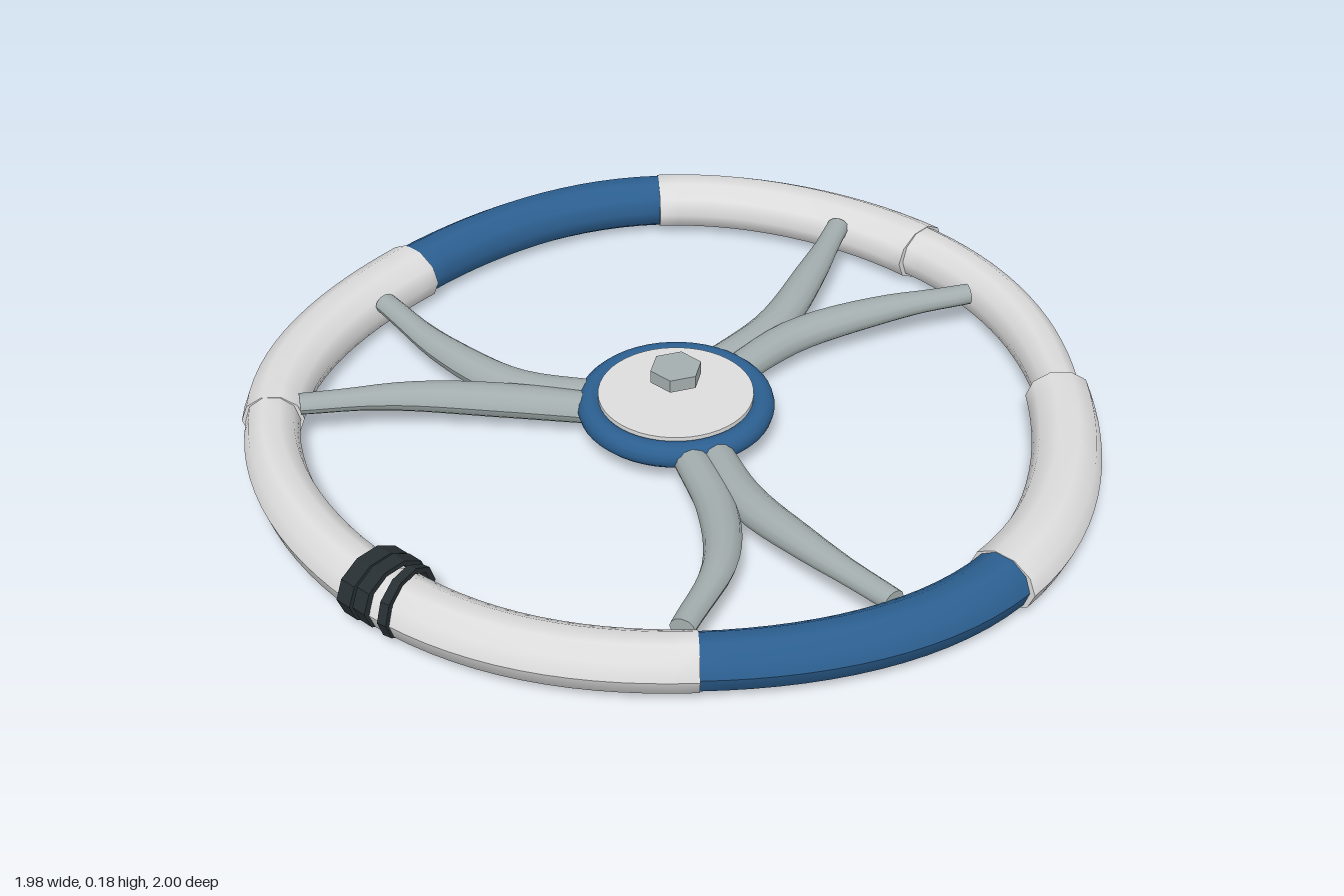
import * as THREE from 'three';

const mat = (name, color, opts = {}) => {
  const m = new THREE.MeshStandardMaterial({ color, ...opts });
  m.name = name;
  return m;
};

// Capped loft along a path: size(t) gives [halfWidth, halfHeight] of the section.
function loft(pointAt, tangentAt, size, steps, sides) {
  const pos = [], idx = [], up = new THREE.Vector3(0, 1, 0);
  const row = sides + 1;
  const ring = (t) => {
    const p = pointAt(t), s = up.clone().cross(tangentAt(t)).normalize(), [w, h] = size(t);
    for (let j = 0; j <= sides; j++) {
      const a = (j / sides) * Math.PI * 2;
      const v = p.clone().addScaledVector(s, w * Math.cos(a)).addScaledVector(up, h * Math.sin(a));
      pos.push(v.x, v.y, v.z);
    }
  };
  for (let i = 0; i <= steps; i++) ring(i / steps);
  for (let i = 0; i < steps; i++) for (let j = 0; j < sides; j++) {
    const a = i * row + j, b = a + row;
    idx.push(a, a + 1, b, a + 1, b + 1, b);
  }
  // End caps have their own vertices so the rims stay sharp
  for (const t of [0, 1]) {
    const start = pos.length / 3;
    ring(t);
    for (let j = 1; j < sides - 1; j++) {
      if (t) idx.push(start, start + j, start + j + 1);
      else idx.push(start, start + j + 1, start + j);
    }
  }
  const g = new THREE.BufferGeometry();
  g.setAttribute('position', new THREE.Float32BufferAttribute(pos, 3));
  g.setIndex(idx);
  g.computeVertexNormals();
  return g;
}

export function createModel() {
  const root = new THREE.Group();
  root.name = 'steeringWheel';
  const white = mat('white', 0xdcdcdc);
  const blue = mat('blue', 0x2c5f90);
  const metal = mat('greyMetal', 0xa3adad);
  const metalFlat = metal;
  const black = mat('blackTape', 0x272f33);
  const add = (name, geo, material, parent = root) => {
    const m = new THREE.Mesh(geo, material);
    m.name = name;
    parent.add(m);
    return m;
  };

  // Rim: eight slightly mismatched pieces, starting at +x and turning towards +z
  const joints = [
    [0.905, 0], [0.6, 0.627], [-0.02, 0.907], [-0.688, 0.655],
    [-0.91, 0], [-0.685, -0.657], [-0.025, -0.915], [0.597, -0.637],
  ].map(([x, z]) => new THREE.Vector3(x, 0.069, z));
  const path = new THREE.CatmullRomCurve3(joints, true, 'catmullrom', 0.565);
  const pieces = [
    [blue, 0.072, 0.062], [white, 0.068, 0.075], [white, 0.071, 0.063], [white, 0.072, 0.085],
    [blue, 0.07, 0.067], [white, 0.078, 0.085], [white, 0.07, 0.054], [white, 0.077, 0.085],
  ];
  const rim = new THREE.Group();
  rim.name = 'rim';
  root.add(rim);
  pieces.forEach(([material, w0, w1], k) => {
    const u = (t) => ((k + t) / 8) % 1;
    const geo = loft(
      (t) => path.getPoint(u(t)),
      (t) => path.getTangent(u(t)),
      (t) => {
        const w = w0 + (w1 - w0) * t;
        return [w, 0.058 + w * 0.1];
      }, 14, 10);
    add('rimPiece' + (k + 1), geo, material, rim);
  });

  // Spokes: three forked pairs, each arm given by [x, z] points from hub to rim
  const arms = [
    [[-0.08, -0.16], [-0.078, -0.4], [-0.15, -0.64], [-0.225, -0.83]],
    [[-0.025, -0.16], [-0.012, -0.4], [0.09, -0.62], [0.21, -0.8]],
    [[-0.17, 0.07], [-0.36, 0.19], [-0.58, 0.215], [-0.82, 0.18]],
    [[-0.14, 0.11], [-0.34, 0.25], [-0.51, 0.41], [-0.655, 0.6]],
    [[0.13, 0.06], [0.32, 0.16], [0.54, 0.21], [0.8, 0.24]],
    [[0.1, 0.11], [0.3, 0.23], [0.44, 0.38], [0.53, 0.6]],
  ];
  const spokes = new THREE.Group();
  spokes.name = 'spokes';
  root.add(spokes);
  arms.forEach((pts, k) => {
    const ys = [0.07, 0.075, 0.09, 0.1];
    const c = new THREE.CatmullRomCurve3(pts.map(([x, z], i) => new THREE.Vector3(x, ys[i], z)));
    const size = (t) => {
      const r = 0.028 + 0.012 * (1 - t) + 0.01 * Math.sin(Math.PI * Math.min(1, t * 1.2));
      return [r, r * 0.85];
    };
    add('spokeArm' + (k + 1), loft((t) => c.getPoint(t), (t) => c.getTangent(t), size, 16, 12), metal, spokes);
  });

  // Hub: blue ring around a white disc with a hexagonal nut above it
  const hub = new THREE.Group();
  hub.name = 'hub';
  hub.position.x = -0.03;
  root.add(hub);
  const collar = add('hubRing', new THREE.TorusGeometry(0.199, 0.03, 12, 48).rotateX(Math.PI / 2), blue, hub);
  collar.position.y = 0.082;
  const disc = add('hubDisc', new THREE.CylinderGeometry(0.18, 0.18, 0.07, 48), white, hub);
  disc.position.y = 0.08;
  const nut = add('hubNut', new THREE.CylinderGeometry(0.061, 0.061, 0.032, 6).rotateY(Math.PI / 6).toNonIndexed(), metalFlat, hub);
  nut.geometry.computeVertexNormals();
  nut.position.y = 0.17;

  // Tape: three flat bands wrapped around the front of the rim
  const band = (rx, ry, width) => {
    const s = new THREE.Shape(), hole = new THREE.Path();
    for (let i = 0; i < 10; i++) {
      const a = (i / 10) * Math.PI * 2, c = Math.cos(a), d = Math.sin(a);
      s[i ? 'lineTo' : 'moveTo'](rx * c, ry * d);
      hole[i ? 'lineTo' : 'moveTo']((rx - 0.016) * c, (ry - 0.012) * d);
    }
    s.closePath();
    hole.closePath();
    s.holes.push(hole);
    return new THREE.ExtrudeGeometry(s, { depth: width, bevelEnabled: false })
      .translate(0, 0, -width / 2).rotateY(Math.PI / 2);
  };
  const tape = new THREE.Group();
  tape.name = 'tape';
  root.add(tape);
  [[-0.07, 0.04, 0, 0.076, 0.094], [-0.024, 0.036, 0, 0.08, 0.092], [0.024, 0.022, 0.2, 0.078, 0.09]]
    .forEach(([x, width, turn, y, rx], k) => {
      const m = add('tapeBand' + (k + 1), band(rx, 0.076, width), black, tape);
      m.position.set(x, y, 0.902);
      m.rotation.y = turn;
    });

  return root;
}
